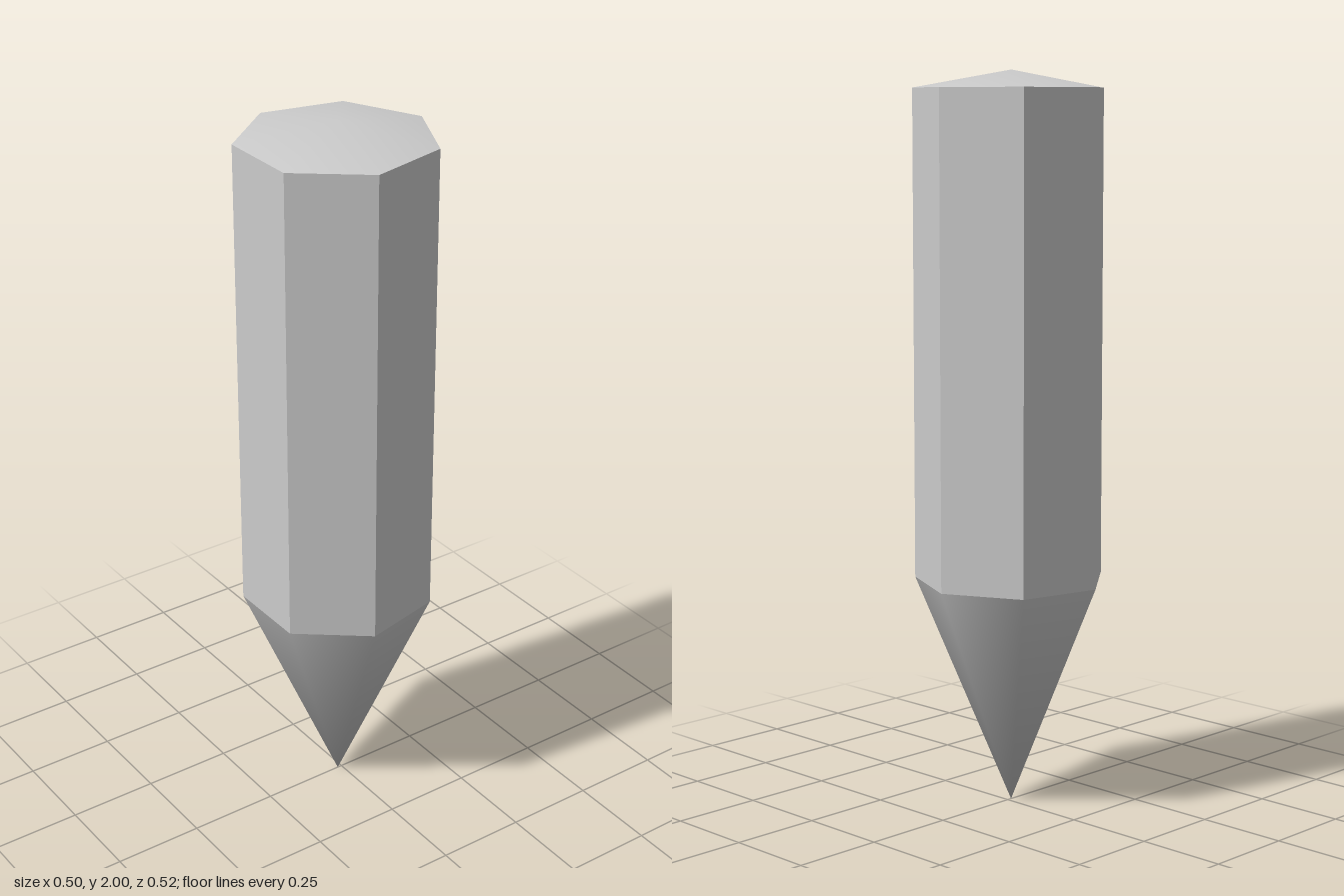
import * as THREE from 'three';
import { mergeVertices } from 'three/addons/utils/BufferGeometryUtils.js';

const SIDES = 7, R = 0.265, START = Math.PI / 2; // one corner points to +x
const SHOULDER = 0.625, RIM = 1.953, TOP = 2;

// open pyramid with one shared apex, so its sides shade smoothly
function pyramid(height) {
  const g = new THREE.ConeGeometry(R, height, SIDES, 1, true, START);
  g.deleteAttribute('normal');
  g.deleteAttribute('uv');
  const merged = mergeVertices(g);
  merged.computeVertexNormals();
  return merged;
}

export function createModel() {
  const group = new THREE.Group();
  group.name = 'pointedPost';
  const add = (name, geometry, y, flatShading) => {
    const material = new THREE.MeshStandardMaterial({ color: 0xcccccc, flatShading, side: THREE.DoubleSide });
    const mesh = new THREE.Mesh(geometry, material);
    mesh.name = name;
    // the corner and the opposite flat are centred on x = 0
    mesh.position.set(-0.013, y, 0);
    group.add(mesh);
  };

  // seven-sided shaft
  const shaft = new THREE.CylinderGeometry(R, R, RIM - SHOULDER, SIDES, 1, true, START);
  add('shaft', shaft, (RIM + SHOULDER) / 2, true);

  // shallow cap above, long point below
  add('cap', pyramid(TOP - RIM), (TOP + RIM) / 2, false);
  add('point', pyramid(SHOULDER).rotateX(Math.PI), SHOULDER / 2, false);

  return group;
}
